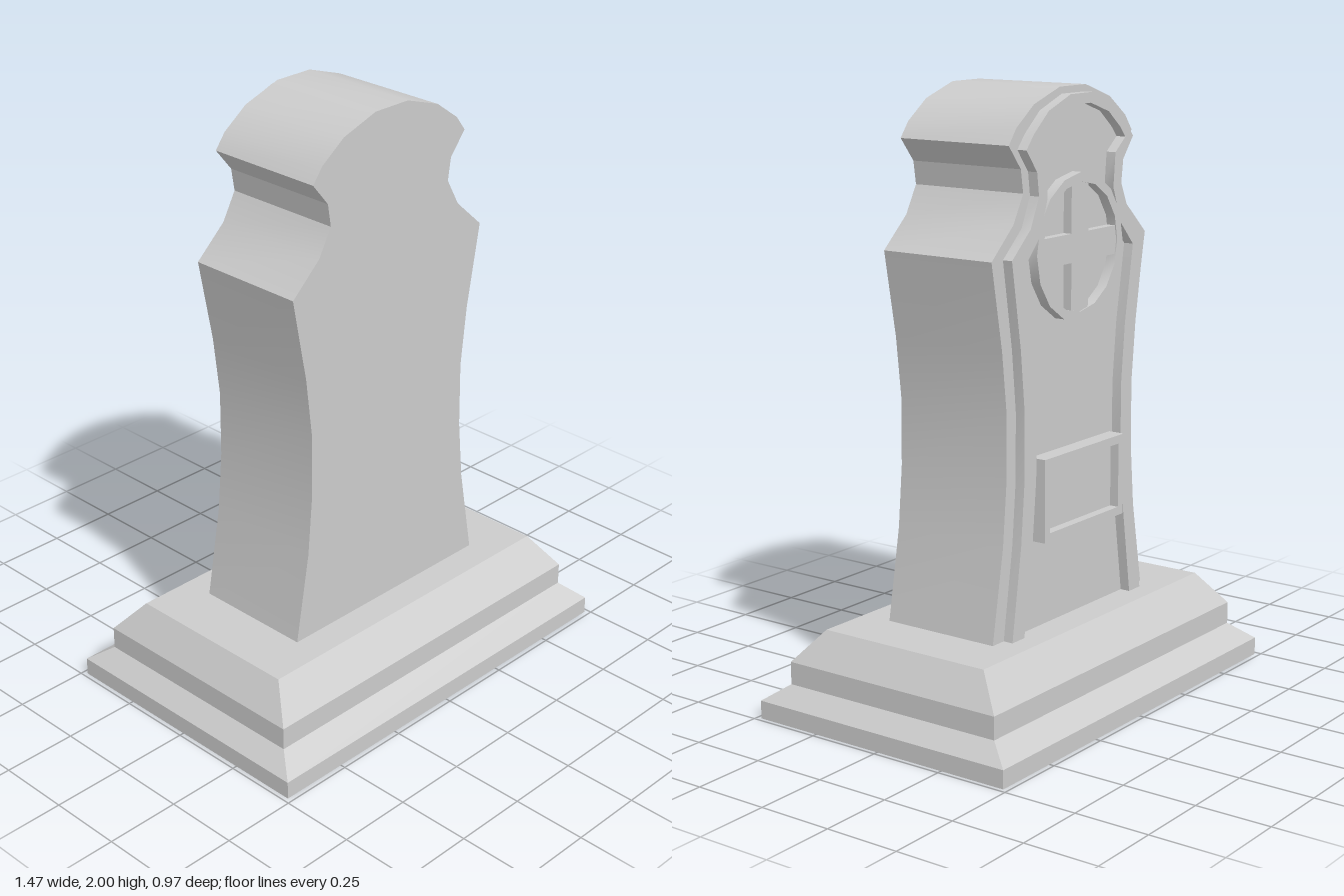
import * as THREE from 'three';
import { toCreasedNormals } from 'three/addons/utils/BufferGeometryUtils.js';

const material = new THREE.MeshStandardMaterial({ color: 0xcccccc });
const BACK = -0.208; // rear face of the slab

// Right halves of the outlines, from the foot up to the crown
const slabSide = [[0.42, 0.29], [0.365, 0.6], [0.347, 0.8], [0.345, 1.02], [0.368, 1.22], [0.42, 1.5],
  [0.31, 1.6], [0.26, 1.69], [0.272, 1.765], [0.333, 1.84], [0.295, 1.89], [0.205, 1.955], [0.07, 2]];
const trimOuter = [[0.363, 0.29], [0.316, 0.6], [0.299, 0.8], [0.298, 1.02], [0.318, 1.22], [0.363, 1.5],
  [0.268, 1.585], [0.225, 1.68], [0.235, 1.755], [0.29, 1.825], [0.252, 1.87], [0.175, 1.935], [0.06, 1.978]];
const trimInner = [[0.3, 0.29], [0.255, 0.6], [0.237, 0.8], [0.236, 1.02], [0.255, 1.22], [0.297, 1.475],
  [0.222, 1.555], [0.18, 1.67], [0.19, 1.78], [0.246, 1.825], [0.215, 1.86], [0.15, 1.912], [0.05, 1.945]];

const mirrored = (side) => [...side, ...side.map(([x, y]) => [-x, y]).reverse()];
const shapeOf = (pts) => new THREE.Shape(pts.map(([x, y]) => new THREE.Vector2(x, y)));
const rect = (w, h, y) => [[-w, y - h], [w, y - h], [w, y + h], [-w, y + h]];
const polygon = (r, n, y) => Array.from({ length: n }, (_, i) => {
  const a = (i / n) * Math.PI * 2;
  return [r * Math.cos(a), y + r * Math.sin(a)];
});

function addMesh(group, name, geometry) {
  const mesh = new THREE.Mesh(geometry, material);
  mesh.name = name;
  group.add(mesh);
}

// Extrude a shape between two z values, with soft curves and sharp corners
function slice(shape, z0, z1) {
  const geo = new THREE.ExtrudeGeometry(shape, { depth: z1 - z0, bevelEnabled: false });
  geo.translate(0, 0, z0);
  return toCreasedNormals(geo, 0.5);
}

// Stack of rectangles [halfWidth, halfDepth, y], closed at both ends
function rectLoft(levels) {
  const pos = [], index = [];
  for (const [w, d, y] of levels) pos.push(-w, y, d, w, y, d, w, y, -d, -w, y, -d);
  for (let l = 0; l < levels.length - 1; l++) {
    for (let i = 0; i < 4; i++) {
      const a = l * 4 + i, b = l * 4 + ((i + 1) % 4);
      index.push(a, b, b + 4, a, b + 4, a + 4);
    }
  }
  const t = (levels.length - 1) * 4;
  index.push(0, 2, 1, 0, 3, 2, t, t + 1, t + 2, t, t + 2, t + 3);
  const geo = new THREE.BufferGeometry();
  geo.setAttribute('position', new THREE.Float32BufferAttribute(pos, 3));
  geo.setIndex(index);
  const flat = geo.toNonIndexed();
  flat.computeVertexNormals();
  return flat;
}

export function createModel() {
  const model = new THREE.Group();
  model.name = 'gravestone';

  // Stepped plinth
  addMesh(model, 'plinth', rectLoft([[0.735, 0.483, 0], [0.735, 0.483, 0.06], [0.675, 0.405, 0.115],
    [0.675, 0.405, 0.19], [0.605, 0.313, 0.297]]));

  // Upright stone
  addMesh(model, 'slab', slice(shapeOf(mirrored(slabSide)), BACK, 0.208));

  // Raised border on the rear face, open at the foot
  const border = [...mirrored(trimOuter), ...mirrored(trimInner).reverse()];
  addMesh(model, 'border', slice(shapeOf(border), BACK - 0.034, BACK + 0.005));

  // Ringed cross
  const cy = 1.5;
  const ring = shapeOf(polygon(0.235, 16, cy));
  ring.holes.push(shapeOf(polygon(0.205, 16, cy)));
  addMesh(model, 'crossRing', slice(ring, BACK - 0.034, BACK + 0.005));
  const a = 0.046, r = 0.208;
  const cross = [[a, a], [a, r], [-a, r], [-a, a], [-r, a], [-r, -a], [-a, -a], [-a, -r],
    [a, -r], [a, -a], [r, -a], [r, a]].map(([x, y]) => [x, y + cy]);
  addMesh(model, 'cross', slice(shapeOf(cross), BACK - 0.03, BACK + 0.005));

  // Framed tablet
  const py = 0.725;
  const frame = shapeOf(rect(0.22, 0.135, py));
  frame.holes.push(shapeOf(rect(0.192, 0.107, py)));
  addMesh(model, 'tabletFrame', slice(frame, BACK - 0.056, BACK + 0.005));
  addMesh(model, 'tablet', slice(shapeOf(rect(0.2, 0.115, py)), BACK - 0.025, BACK + 0.005));

  return model;
}
